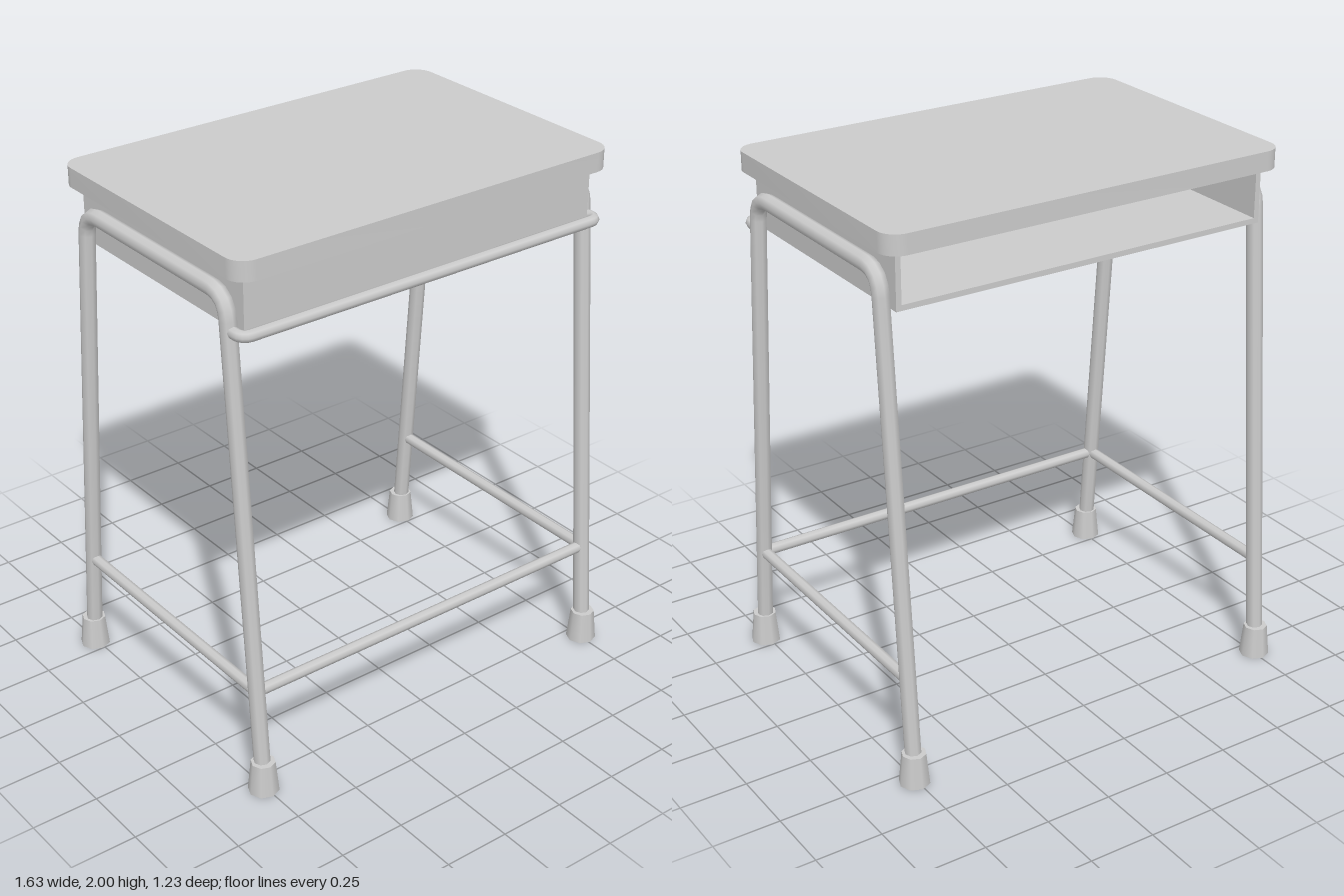
import * as THREE from 'three';
import { toCreasedNormals } from 'three/addons/utils/BufferGeometryUtils.js';

const LEG_X = 0.757;
const TOP_Y = 1.85;
const legZ = (y) => 0.56 - 0.08 * y; // legs lean inward towards the top

export function createModel() {
  const model = new THREE.Group();
  const material = new THREE.MeshStandardMaterial({ color: 0xcccccc });

  const add = (name, geometry, x = 0, y = 0, z = 0) => {
    const mesh = new THREE.Mesh(geometry, material);
    mesh.name = name;
    mesh.position.set(x, y, z);
    model.add(mesh);
    return mesh;
  };

  // Bent pipe: straight runs joined by rounded corners
  const pipe = (name, coords, bend, radius, segments) => {
    const pts = coords.map((c) => new THREE.Vector3(...c));
    const path = new THREE.CurvePath();
    let from = pts[0];
    for (let i = 1; i < pts.length - 1; i++) {
      const a = pts[i].clone().add(pts[i - 1].clone().sub(pts[i]).setLength(bend));
      const b = pts[i].clone().add(pts[i + 1].clone().sub(pts[i]).setLength(bend));
      path.add(new THREE.LineCurve3(from, a));
      path.add(new THREE.QuadraticBezierCurve3(a, pts[i], b));
      from = b;
    }
    path.add(new THREE.LineCurve3(from, pts[pts.length - 1]));
    return add(name, new THREE.TubeGeometry(path, segments, radius, 8), 0, 0, 0);
  };

  // Desktop: rounded rectangle slab
  const w = 0.785, d = 0.523, r = 0.07;
  const outline = new THREE.Shape();
  outline.absarc(w - r, d - r, r, 0, Math.PI / 2);
  outline.absarc(-w + r, d - r, r, Math.PI / 2, Math.PI);
  outline.absarc(-w + r, -d + r, r, Math.PI, Math.PI * 1.5);
  outline.absarc(w - r, -d + r, r, Math.PI * 1.5, Math.PI * 2);
  const slab = new THREE.ExtrudeGeometry(outline, { depth: 0.072, bevelEnabled: false, curveSegments: 6 });
  slab.rotateX(-Math.PI / 2);
  add('desktop', toCreasedNormals(slab, 0.6), 0, 1.928, 0);

  // Storage tray, open at the back
  const t = 0.02, trayW = 1.464, trayD = 0.942, low = 1.723, high = 1.928;
  const midY = (low + high) / 2;
  add('trayFloor', new THREE.BoxGeometry(trayW, t, trayD), 0, low + t / 2, 0);
  add('trayFront', new THREE.BoxGeometry(trayW, high - low, t), 0, midY, (trayD - t) / 2);

  for (const side of [1, -1]) {
    const label = side > 0 ? 'left' : 'right';
    const x = side * LEG_X;
    add(label + 'TraySide', new THREE.BoxGeometry(t, high - low, trayD), side * (trayW - t) / 2, midY, 0);

    // Front and back legs from one bent pipe
    pipe(label + 'LegFrame', [
      [x, 0.06, legZ(0.06)], [x, TOP_Y, legZ(TOP_Y)],
      [x, TOP_Y, -legZ(TOP_Y)], [x, 0.06, -legZ(0.06)],
    ], 0.085, 0.03, 140);

    // Tapered feet
    for (const end of [1, -1]) {
      add(label + (end > 0 ? 'Front' : 'Back') + 'Foot',
        new THREE.CylinderGeometry(0.044, 0.056, 0.12, 8), x, 0.06, end * 0.557);
    }

    // Side stretcher
    const bar = new THREE.CylinderGeometry(0.021, 0.021, 2 * legZ(0.4), 8);
    bar.rotateX(Math.PI / 2);
    add(label + 'Stretcher', bar, x, 0.4, 0);
  }

  // Front stretcher
  const frontBar = new THREE.CylinderGeometry(0.021, 0.021, 2 * LEG_X, 8);
  frontBar.rotateZ(Math.PI / 2);
  add('frontStretcher', frontBar, 0, 0.4, legZ(0.4));

  // Front rail, its ends turned back into the legs
  const railY = 1.733, railZ = 0.497;
  pipe('frontRail', [
    [-LEG_X, railY, 0.42], [-LEG_X, railY, railZ],
    [LEG_X, railY, railZ], [LEG_X, railY, 0.42],
  ], 0.035, 0.021, 140);

  return model;
}
